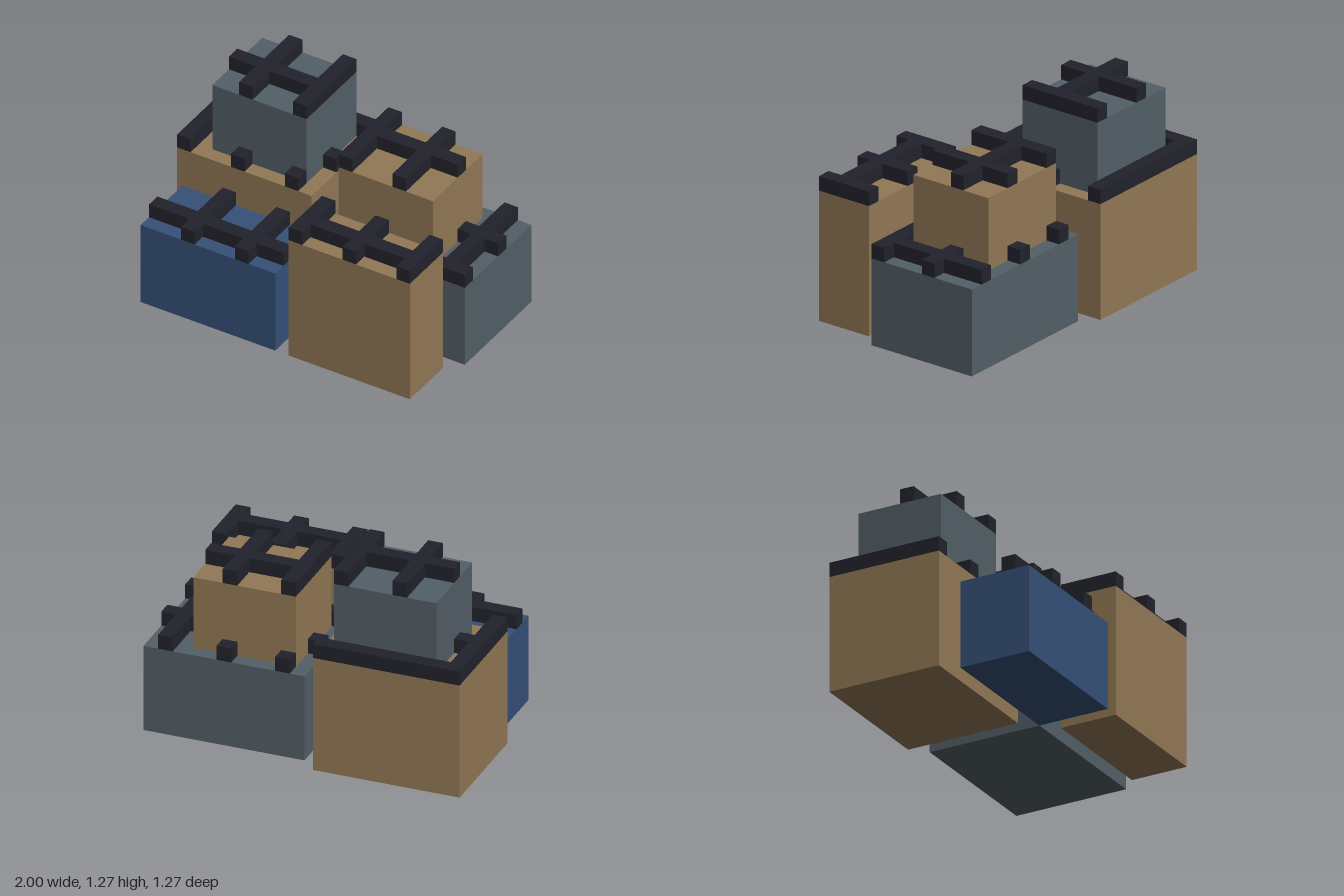
import * as THREE from 'three';

const U = 1 / 11; // one grid unit

const makeMaterial = (name, color) => {
  const m = new THREE.MeshStandardMaterial({ color });
  m.name = name;
  return m;
};

// Box given by its grid limits
function block(name, material, x0, x1, y0, y1, z0, z1) {
  const mesh = new THREE.Mesh(new THREE.BoxGeometry((x1 - x0) * U, (y1 - y0) * U, (z1 - z0) * U), material);
  mesh.position.set((x0 + x1) / 2 * U, (y0 + y1) / 2 * U, (z0 + z1) / 2 * U);
  mesh.name = name;
  return mesh;
}

// Consecutive cells in [a, b) that pass the test, as [start, end] pairs
function runs(a, b, test) {
  const out = [];
  let start = null;
  for (let i = a; i <= b; i++) {
    const on = i < b && test(i);
    if (on && start === null) start = i;
    if (!on && start !== null) { out.push([start, i]); start = null; }
  }
  return out;
}

// Beams repeat every four units in both directions
const isBeam = (i) => (((i - 1) % 4) + 4) % 4 === 0;

// One storey: walls plus the roof beams, left out where an upper storey stands
function storey(name, material, beamMaterial, s, upper) {
  const group = new THREE.Group();
  group.name = name;
  const { x: [x0, x1], y: [y0, y1], z: [z0, z1] } = s;
  group.add(block('walls', material, x0, x1, y0, y1, z0, z1));
  const free = (x, z) => !upper ||
    x < upper.x[0] || x >= upper.x[1] || z < upper.z[0] || z >= upper.z[1];

  // Beams running front to back
  for (let x = x0; x < x1; x++) {
    if (!isBeam(x)) continue;
    for (const [a, b] of runs(z0, z1, (z) => free(x, z)))
      group.add(block('longRoofBeam', beamMaterial, x, x + 1, y1, y1 + 1, a, b));
  }
  // Cross beams fitted between them
  for (let z = z0; z < z1; z++) {
    if (!isBeam(z)) continue;
    for (const [a, b] of runs(x0, x1, (x) => !isBeam(x) && free(x, z)))
      group.add(block('crossRoofBeam', beamMaterial, a, b, y1, y1 + 1, z, z + 1));
  }
  return group;
}

export function createModel() {
  const tan = makeMaterial('tan wall', 0x927855);
  const slate = makeMaterial('slate wall', 0x535f67);
  const blue = makeMaterial('blue wall', 0x365077);
  const dark = makeMaterial('dark beam', 0x22222c);

  const model = new THREE.Group();
  model.name = 'buildingCluster';

  // Storeys in grid units, lowest first
  const buildings = [
    ['backRightBuilding', [
      [tan, { x: [-11, -1], y: [0, 8], z: [-7, 1] }],
      [slate, { x: [-9, -2], y: [8, 13], z: [-6, 0] }]]],
    ['backLeftBuilding', [
      [slate, { x: [0, 11], y: [0, 6], z: [-6, 2] }],
      [tan, { x: [1, 8], y: [6, 11], z: [-5, 1] }]]],
    ['frontRightBuilding', [[blue, { x: [-10, 0], y: [0, 6], z: [2, 7] }]]],
    ['frontLeftBuilding', [[tan, { x: [1, 10], y: [0, 9], z: [3, 7] }]]],
  ];

  for (const [name, storeys] of buildings) {
    const building = new THREE.Group();
    building.name = name;
    storeys.forEach(([material, size], i) => {
      building.add(storey(i ? 'upperStorey' : 'lowerStorey', material, dark, size, storeys[i + 1]?.[1]));
    });
    model.add(building);
  }
  return model;
}
